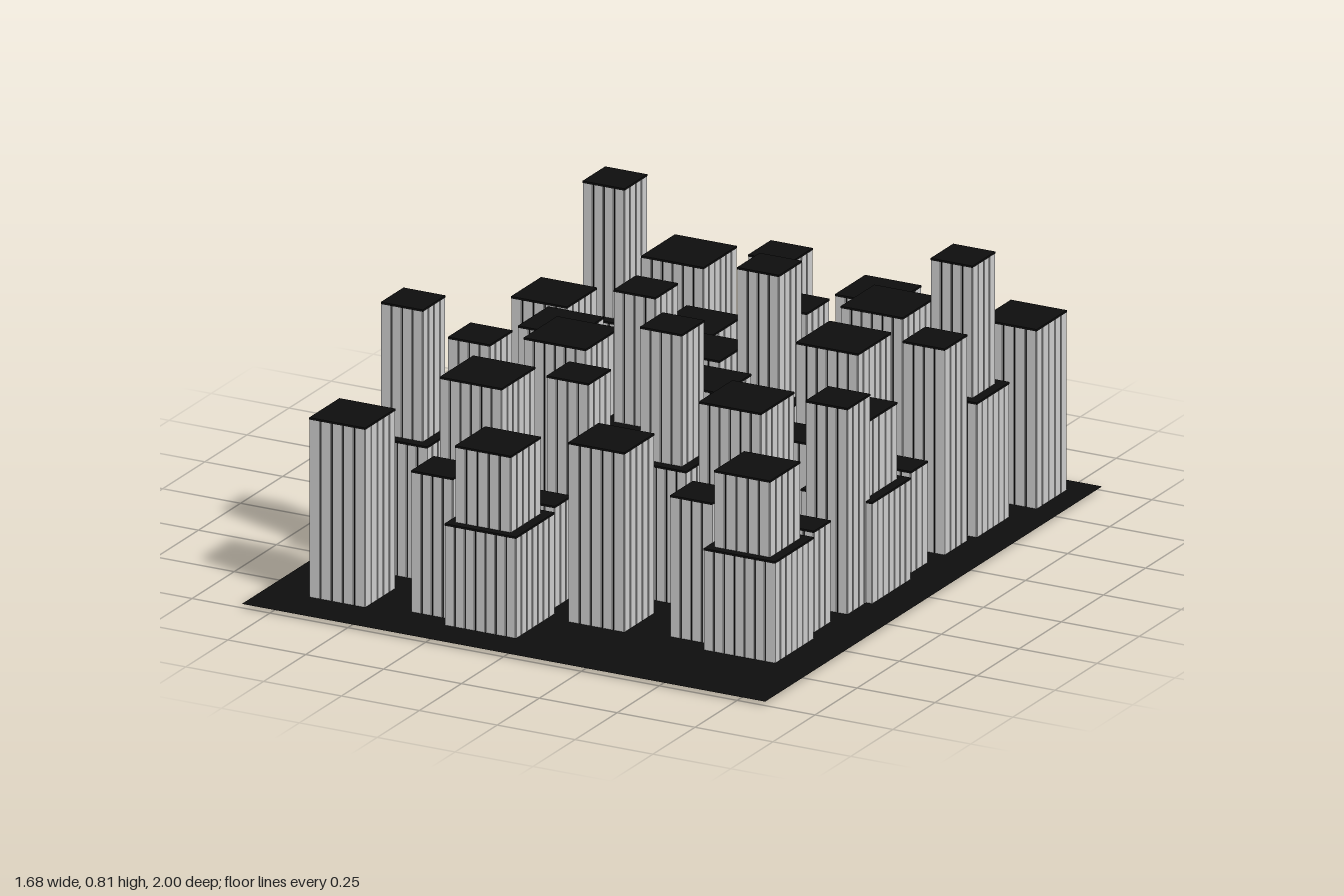
import * as THREE from 'three';
import { mergeGeometries } from 'three/addons/utils/BufferGeometryUtils.js';

const GROUND_Y = 0.015;
const PANEL_DEPTH = 0.005;

// One district: x, z, width, bottom and top of each block
const BLOCKS = [
  ['steppedBase', 0, 0, 0.23, 0.003, 0.32],
  ['steppedUpper', -0.005, 0, 0.18, 0.2, 0.55],
  ['cornerTower', -0.47, 0.005, 0.18, 0.005, 0.555],
  ['mediumTower', -0.182, -0.003, 0.135, 0.012, 0.44],
  ['tallTowerBase', -0.425, -0.273, 0.195, 0.008, 0.42],
  ['tallTowerUpper', -0.425, -0.273, 0.135, 0.3, 0.817],
  ['wideTower', -0.188, -0.276, 0.2, 0.008, 0.637],
  ['slimTower', 0.038, -0.4, 0.135, 0.008, 0.635],
  ['smallBlock', 0.042, -0.208, 0.1, 0.01, 0.32],
];

// Six copies of the district: x, z, turned half round or not
const DISTRICTS = [
  [-0.14, 0.765, false], [0.6, 0.595, false], [0.61, 0.037, false],
  [-0.11, -0.377, false], [0.205, -0.835, true], [-0.46, -0.182, true],
];

// Dark core with a row of pale upright panels on each of four sides
function building(name, width, bottom, top, dark, pale) {
  const group = new THREE.Group();
  group.name = name;

  const coreWidth = width - PANEL_DEPTH * 2;
  const coreBottom = Math.max(bottom, GROUND_Y);
  const core = new THREE.Mesh(new THREE.BoxGeometry(coreWidth, top - coreBottom, coreWidth), dark);
  core.name = 'core';
  core.position.y = (top + coreBottom) / 2;

  const roof = new THREE.Mesh(new THREE.BoxGeometry(width, 0.006, width), dark);
  roof.name = 'roof';
  roof.position.y = top - 0.003;

  const count = Math.round(width / 0.035);
  const pitch = width / count;
  const height = top - 0.006 - bottom;
  const panels = [];
  for (let side = 0; side < 4; side++) {
    for (let i = 0; i < count; i++) {
      const panel = new THREE.BoxGeometry(pitch * 0.84, height, PANEL_DEPTH);
      panel.translate((i + 0.5) * pitch - width / 2, bottom + height / 2, (width - PANEL_DEPTH) / 2);
      panels.push(panel.rotateY(side * Math.PI / 2));
    }
  }
  const facade = new THREE.Mesh(mergeGeometries(panels), pale);
  facade.name = 'facadePanels';

  group.add(core, roof, facade);
  return group;
}

export function createModel() {
  const model = new THREE.Group();
  model.name = 'cityBlocks';
  const dark = new THREE.MeshStandardMaterial({ color: 0x0d0d0d });
  const pale = new THREE.MeshStandardMaterial({ color: 0xcccccc });
  const groundMaterial = new THREE.MeshStandardMaterial({ color: 0x0d0d0d, side: THREE.DoubleSide });

  // Flat ground sheet
  const ground = new THREE.Mesh(new THREE.PlaneGeometry(1.68, 2), groundMaterial);
  ground.name = 'ground';
  ground.rotation.x = -Math.PI / 2;
  ground.position.y = GROUND_Y;
  model.add(ground);

  // Districts
  for (const [x, z, turned] of DISTRICTS) {
    const district = new THREE.Group();
    district.name = 'district';
    for (const [name, bx, bz, width, bottom, top] of BLOCKS) {
      const block = building(name, width, bottom, top, dark, pale);
      block.position.set(bx, 0, bz);
      district.add(block);
    }
    district.position.set(x, 0, z);
    if (turned) district.rotation.y = Math.PI;
    model.add(district);
  }
  return model;
}
